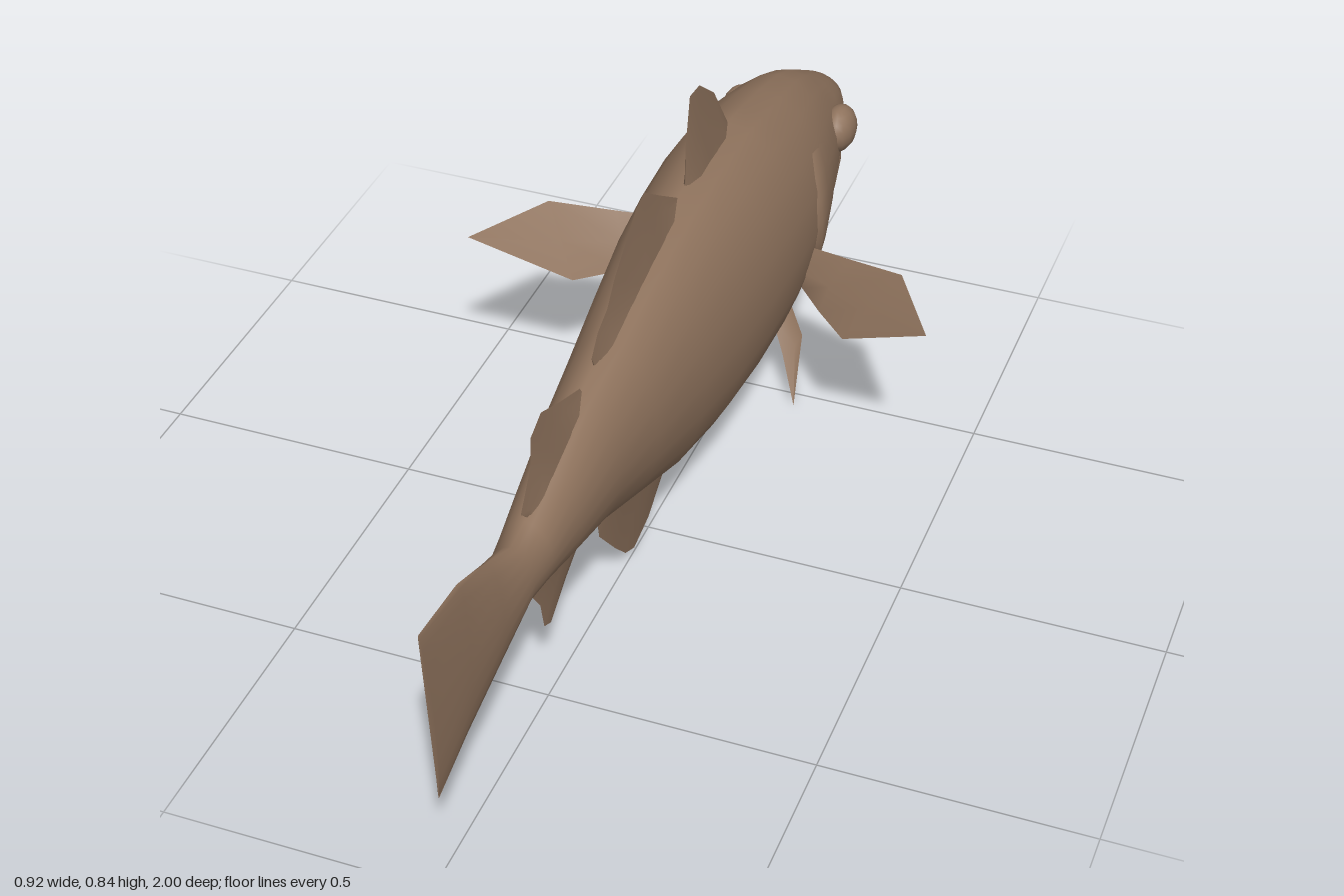
import * as THREE from 'three';

const skin = new THREE.MeshStandardMaterial({ color: 0x8f735d, side: THREE.DoubleSide });
skin.name = 'brown skin';

// Cross-sections from snout to tail: z, top, bottom, half width
const BODY = [
  [-1.0, 0.445, 0.405, 0.03], [-0.97, 0.475, 0.385, 0.058], [-0.92, 0.505, 0.36, 0.08],
  [-0.85, 0.545, 0.325, 0.1], [-0.8, 0.573, 0.25, 0.112], [-0.72, 0.607, 0.215, 0.13],
  [-0.61, 0.635, 0.175, 0.15], [-0.5, 0.657, 0.145, 0.158], [-0.42, 0.67, 0.132, 0.158],
  [-0.28, 0.672, 0.123, 0.152], [-0.14, 0.665, 0.125, 0.14], [0.02, 0.635, 0.155, 0.12],
  [0.2, 0.588, 0.222, 0.097], [0.33, 0.56, 0.27, 0.08], [0.48, 0.51, 0.3, 0.062],
  [0.58, 0.47, 0.325, 0.05], [0.64, 0.46, 0.33, 0.043], [0.74, 0.505, 0.265, 0.03],
  [0.85, 0.55, 0.222, 0.018], [0.96, 0.565, 0.18, 0.004],
];
const JAW = [
  [-0.995, 0.382, 0.352, 0.03], [-0.97, 0.372, 0.31, 0.058], [-0.92, 0.348, 0.278, 0.078],
  [-0.85, 0.315, 0.258, 0.088], [-0.76, 0.31, 0.235, 0.09],
];

// Point on a section at angle a, pushed outward by grow
function sectionPoint([z, top, bottom, w], a, grow = 0) {
  const c = Math.cos(a), s = Math.sin(a);
  return [
    Math.sign(c) * Math.abs(c) ** 1.1 * (w + grow),
    (top + bottom) / 2 + s * ((top - bottom) / 2 + grow),
    z,
  ];
}

function sectionAt(z) {
  let i = 0;
  while (i < BODY.length - 2 && BODY[i + 1][0] < z) i++;
  const t = (z - BODY[i][0]) / (BODY[i + 1][0] - BODY[i][0]);
  return BODY[i].map((v, k) => v + (BODY[i + 1][k] - v) * t);
}

// Mesh from a grid of points
function gridMesh(name, rows, capped = false) {
  const n = rows[0].length, pos = rows.flat(2), index = [];
  for (let j = 0; j < rows.length - 1; j++)
    for (let i = 0; i < n - 1; i++) {
      const a = j * n + i, b = a + 1, c = a + n, d = c + 1;
      index.push(a, b, c, b, d, c);
    }
  if (capped)
    for (let i = 1; i < n - 2; i++) {
      const e = (rows.length - 1) * n;
      index.push(0, i + 1, i, e, e + i, e + i + 1);
    }
  const g = new THREE.BufferGeometry();
  g.setAttribute('position', new THREE.Float32BufferAttribute(pos, 3));
  g.setIndex(index);
  g.computeVertexNormals();
  const mesh = new THREE.Mesh(g, skin);
  mesh.name = name;
  return mesh;
}

function loft(name, sections, shape = (p) => p) {
  const N = 20;
  const rows = sections.map((s) =>
    Array.from({ length: N + 1 }, (_, i) => shape(sectionPoint(s, ((i % N) / N) * Math.PI * 2 - Math.PI / 2))));
  return gridMesh(name, rows, true);
}

// Upright fin: wedge from a thick base line [z, y] to a sharp outer edge [z, y]
function medianFin(name, start, end, edge, t = 0.016) {
  const group = new THREE.Group();
  group.name = name;
  for (const side of [1, -1]) {
    const rows = edge.map(([z, y], i) => {
      const k = i / (edge.length - 1);
      const bz = start[0] + (end[0] - start[0]) * k, by = start[1] + (end[1] - start[1]) * k;
      const thick = side * t * (i === 0 || i === edge.length - 1 ? 0.3 : 1);
      return [[thick, by, bz], [thick * 0.4, (by + y) / 2, (bz + z) / 2], [0, y, z]];
    });
    group.add(gridMesh(name + 'Side', rows));
  }
  return group;
}

// Side fin: two edge lines meeting at the tip, bulged by a vector along the middle
function pairedFin(name, side, upper, lower, bulge) {
  const group = new THREE.Group();
  group.name = name;
  for (const face of [1, -1]) {
    const rows = upper.map((u, i) => {
      const l = lower[i], f = face * (1 - i / (upper.length - 1));
      const mid = u.map((v, k) => (v + l[k]) / 2 + bulge[k] * f);
      return [u, mid, l].map(([x, y, z]) => [x * side, y, z]);
    });
    group.add(gridMesh(name + 'Face', rows));
  }
  return group;
}

export function createModel() {
  const fish = new THREE.Group();
  fish.name = 'fish';

  // Body running into the tail fin, with a slanted trailing edge
  fish.add(loft('bodyAndTail', BODY, ([x, y, z]) =>
    z > 0.95 ? [x, y, z + 0.04 * Math.max(0, (y - 0.2) / 0.365) ** 2] : [x, y, z]));
  fish.add(loft('lowerJaw', JAW));

  // Fins on the back
  fish.add(medianFin('firstDorsalFin', [-0.42, 0.655], [-0.19, 0.655],
    [[-0.42, 0.67], [-0.34, 0.78], [-0.26, 0.84], [-0.21, 0.845], [-0.19, 0.75], [-0.19, 0.66]]));
  fish.add(medianFin('secondDorsalFin', [-0.15, 0.655], [0.26, 0.56],
    [[-0.15, 0.665], [-0.06, 0.725], [0.02, 0.78], [0.06, 0.77], [0.165, 0.69], [0.2, 0.65],
      [0.245, 0.63], [0.275, 0.595], [0.26, 0.57]]));
  fish.add(medianFin('thirdDorsalFin', [0.32, 0.55], [0.57, 0.46],
    [[0.33, 0.57], [0.42, 0.605], [0.5, 0.64], [0.545, 0.62], [0.55, 0.56], [0.595, 0.495], [0.57, 0.48]]));

  // Fins under the belly
  fish.add(medianFin('firstAnalFin', [-0.18, 0.135], [0.26, 0.26],
    [[-0.18, 0.122], [-0.08, 0.085], [-0.0, 0.035], [0.075, 0.018], [0.12, 0.04],
      [0.17, 0.09], [0.25, 0.18], [0.26, 0.24]], 0.02));
  fish.add(medianFin('secondAnalFin', [0.3, 0.275], [0.57, 0.34],
    [[0.32, 0.262], [0.41, 0.21], [0.48, 0.165], [0.51, 0.18], [0.525, 0.24], [0.57, 0.3], [0.57, 0.32]]));

  for (const side of [1, -1]) {
    const label = side > 0 ? 'left' : 'right';
    fish.add(pairedFin(label + 'PectoralFin', side,
      [[0.14, 0.365, -0.51], [0.24, 0.39, -0.46], [0.36, 0.422, -0.4], [0.458, 0.42, -0.23]],
      [[0.14, 0.285, -0.48], [0.2, 0.297, -0.4], [0.275, 0.312, -0.31], [0.458, 0.42, -0.23]],
      [0.012, 0, -0.012]));
    fish.add(pairedFin(label + 'PelvicFin', side,
      [[0.075, 0.2, -0.58], [0.122, 0.12, -0.55], [0.137, 0.01, -0.46]],
      [[0.065, 0.16, -0.53], [0.098, 0.1, -0.5], [0.137, 0.01, -0.46]],
      [0.012, 0, 0.004]));

    // Eye bulge
    const eye = new THREE.Mesh(new THREE.SphereGeometry(1, 14, 10), skin);
    eye.name = label + 'Eye';
    eye.scale.set(0.035, 0.048, 0.052);
    eye.position.set(side * 0.106, 0.46, -0.8);
    fish.add(eye);

    // Gill cover lifting off the cheek towards a curved rear edge
    const rows = [];
    for (let j = 0; j <= 10; j++) {
      const u = j / 10, a = -0.95 + u * 1.7;
      const rear = -0.62 + 0.09 * Math.sin(u * Math.PI) + 0.03 * u;
      rows.push([0, 0.35, 0.7, 1, 1.01].map((k, i) => {
        const z = -0.74 + (rear + 0.74) * k;
        const [x, y] = sectionPoint(sectionAt(z), a, i === 4 ? -0.01 : -0.004 + 0.014 * k * Math.sin(u * Math.PI));
        return [x * side, y, z];
      }));
    }
    fish.add(gridMesh(label + 'GillCover', rows));
  }
  return fish;
}
